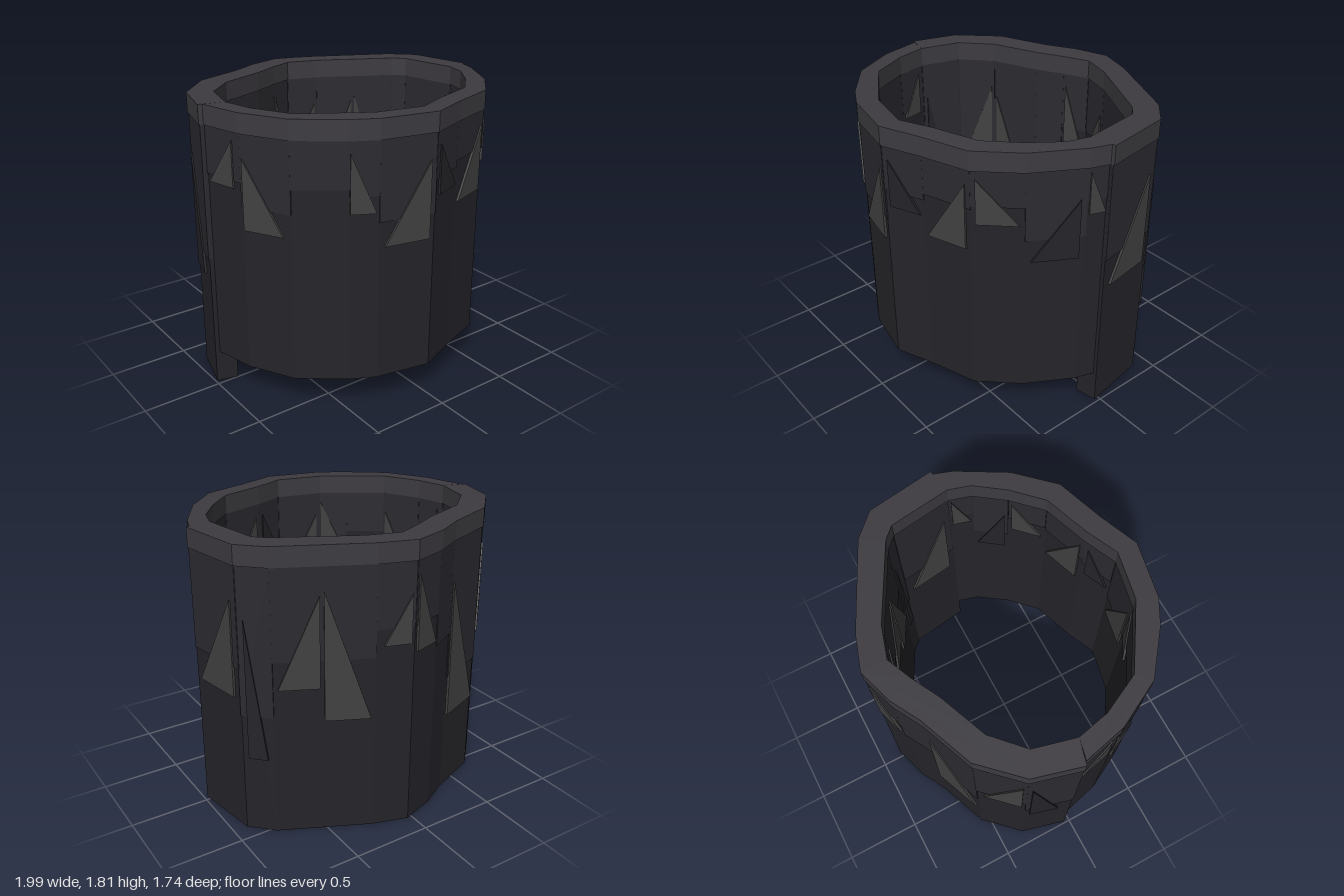
import * as THREE from 'three';

// Plan sections running +x -> back -> -x -> front: [outerX, outerZ, innerX, innerZ]
const BACK = [
  [0.99, 0.03, 0.83, 0.06], [0.92, -0.40, 0.77, -0.33], [0.78, -0.54, 0.70, -0.40],
  [0.25, -0.80, 0.23, -0.65], [0.03, -0.87, 0.03, -0.71], [-0.19, -0.80, -0.13, -0.64],
  [-0.37, -0.70, -0.30, -0.55], [-0.70, -0.57, -0.60, -0.43], [-0.92, -0.34, -0.78, -0.26],
  [-1.00, -0.04, -0.845, 0.00],
];
const FRONT = [
  [-0.975, -0.03, -0.845, 0.00], [-0.91, 0.24, -0.80, 0.20], [-0.76, 0.52, -0.68, 0.44],
  [-0.50, 0.72, -0.46, 0.58], [-0.35, 0.80, -0.30, 0.68], [0, 0.87, 0, 0.74],
  [0.25, 0.77, 0.20, 0.65], [0.55, 0.67, 0.49, 0.55], [0.76, 0.45, 0.66, 0.38],
  [0.93, 0.15, 0.79, 0.20], [0.97, 0.03, 0.83, 0.06],
];

// Per segment: panel bottom, then shards [t0, t1, apexT, bottom, top, dark]
const BACK_TRIM = [
  [1.07, [0.12, 0.88, 0.88, 0.88, 1.48]],
  [0.78, [0.2, 0.8, 0.2, 0.50, 1.38, 1]],
  [1.13, [0.05, 0.46, 0.46, 0.96, 1.52], [0.5, 0.96, 0.5, 0.75, 1.55]],
  [1.30, [0.2, 0.9, 0.9, 1.2, 1.5]],
  [1.30, [0.1, 0.9, 0.1, 1.14, 1.60]],
  [1.10],
  [0.80, [0.05, 0.95, 0.05, 0.53, 1.43]],
  [1.05, [0.15, 0.92, 0.92, 0.98, 1.50]],
  [0.85, [0.1, 0.7, 0.1, 0.72, 1.45, 1]],
];
const FRONT_TRIM = [
  [1.40, [0.1, 0.8, 0.8, 1.36, 1.64]],
  [1.26, [0.05, 0.85, 0.05, 1.12, 1.55]],
  [1.41],
  [1.37, [0.02, 0.9, 0.02, 1.27, 1.62]],
  [1.21, [0.1, 0.9, 0.9, 1.06, 1.54]],
  [1.41, [0.15, 0.92, 0.15, 1.31, 1.61, 1]],
  [1.45, [0.08, 0.9, 0.9, 1.19, 1.60]],
  [1.47, [0.1, 0.9, 0.1, 1.36, 1.64]],
  [1.26, [0.1, 0.9, 0.9, 1.12, 1.50, 1]],
  [1.48, [0.1, 0.9, 0.1, 1.40, 1.66]],
];
const RIM_Y = 1.69, TOP_Y = 1.81, INSET = 0.012;

const paint = (color) => new THREE.MeshStandardMaterial({ color, flatShading: true });

export function createModel() {
  const model = new THREE.Group();
  const bodyMat = paint(0x25252a), panelMat = paint(0x2b2b31);
  const rimMat = paint(0x3d3b40), shardMat = paint(0x424242);

  const add = (geometry, material, name, parent) => {
    const mesh = new THREE.Mesh(geometry, material);
    mesh.name = name;
    parent.add(mesh);
  };

  // Half ring of wall between two heights, optionally thinned on both faces
  const wall = (sections, y0, y1, inset) => {
    const thin = sections.map(([ox, oz, ix, iz]) => {
      const k = inset / Math.hypot(ox - ix, oz - iz);
      return [ox + (ix - ox) * k, oz + (iz - oz) * k, ix + (ox - ix) * k, iz + (oz - iz) * k];
    });
    const outer = thin.map((s) => new THREE.Vector2(s[0], -s[1]));
    const inner = thin.map((s) => new THREE.Vector2(s[2], -s[3])).reverse();
    const geo = new THREE.ExtrudeGeometry(new THREE.Shape([...outer, ...inner]),
      { depth: y1 - y0, bevelEnabled: false });
    return geo.rotateX(-Math.PI / 2).translate(0, y0, 0);
  };

  // Thin plate on the wall face from a to b; points are [fraction along, height]
  const plate = (a, b, points, sink) => {
    const along = new THREE.Vector3(b[0] - a[0], 0, b[1] - a[1]);
    const length = along.length();
    along.normalize();
    const up = new THREE.Vector3(0, 1, 0);
    const out = new THREE.Vector3().crossVectors(along, up);
    const shape = new THREE.Shape(points.map(([t, y]) => new THREE.Vector2(t * length, y)));
    const geo = new THREE.ExtrudeGeometry(shape, { depth: 0.03, bevelEnabled: false });
    geo.translate(0, 0, -0.03 - sink);
    geo.applyMatrix4(new THREE.Matrix4().makeBasis(along, up, out).setPosition(a[0], 0, a[1]));
    return geo;
  };

  // Panels and shards on one face of one segment
  const trimFace = (a, b, [bottom, ...shards], flip, parent) => {
    add(plate(a, b, [[0, bottom], [1, bottom], [1, RIM_Y], [0, RIM_Y]], 0.006),
      panelMat, 'upperPanel', parent);
    for (const [t0, t1, apex, y0, y1, dark] of shards) {
      const f = (t) => (flip ? 1 - t : t);
      add(plate(a, b, [[f(t0), y0], [f(t1), y0], [f(apex), y1]], -0.003),
        dark ? bodyMat : shardMat, 'shard', parent);
    }
  };

  const halves = [['back', BACK, BACK_TRIM, 0], ['front', FRONT, FRONT_TRIM, 0.21]];
  for (const [name, sections, trim, bottom] of halves) {
    const half = new THREE.Group();
    half.name = name + 'Half';
    add(wall(sections, bottom, RIM_Y, INSET), bodyMat, name + 'Wall', half);
    add(wall(sections, RIM_Y, TOP_Y, 0), rimMat, name + 'Rim', half);
    trim.forEach((spec, i) => {
      const p = sections[i], q = sections[i + 1];
      trimFace(p.slice(0, 2), q.slice(0, 2), spec, false, half);
      trimFace(q.slice(2), p.slice(2), spec, false, half);
    });
    model.add(half);
  }
  return model;
}
